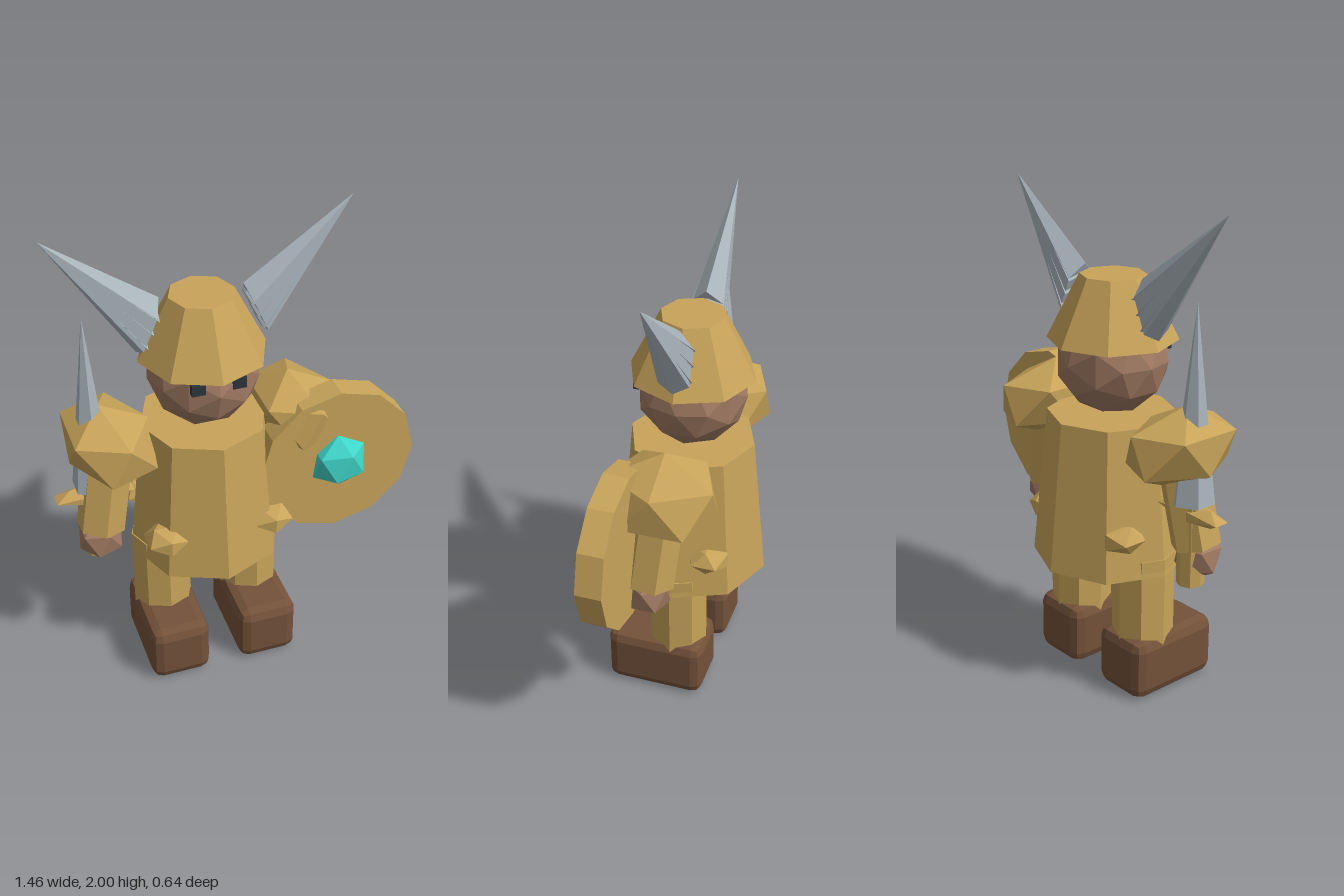
import * as THREE from 'three';
import { RoundedBoxGeometry } from 'three/addons/geometries/RoundedBoxGeometry.js';
import { ConvexGeometry } from 'three/addons/geometries/ConvexGeometry.js';

const mat = (color) => new THREE.MeshStandardMaterial({ color, flatShading: true });
const V = (x, y, z) => new THREE.Vector3(x, y, z);

export function createModel() {
  const model = new THREE.Group();
  const figure = new THREE.Group();
  figure.name = 'figure';
  figure.position.x = -0.11; // the shield widens the model on its left side
  model.add(figure);

  const gold = mat(0xc8a45a), skin = mat(0xa07a62), leather = mat(0x74523a);
  const silver = mat(0xa9b4bb), dark = mat(0x2c343c), teal = mat(0x3fd4c8);

  function add(name, geometry, material, x, y, z) {
    const mesh = new THREE.Mesh(geometry, material);
    mesh.name = name;
    mesh.position.set(x, y, z);
    figure.add(mesh);
    return mesh;
  }
  const ico = (r, detail = 0) => new THREE.IcosahedronGeometry(r, detail);
  const cyl = (top, bottom, h, sides) => new THREE.CylinderGeometry(top, bottom, h, sides);

  // Tunic, head and helmet
  add('tunic', cyl(0.26, 0.32, 0.61, 8), gold, 0, 0.835, 0);
  add('head', ico(0.225, 1), skin, 0, 1.36, 0);
  add('helmet', cyl(0.13, 0.258, 0.255, 8), gold, 0, 1.5625, 0);

  // Horn: a skewed six-sided spike with narrow ridges along its length
  function horn(s) {
    const tip = V(s * 0.595, 2, 0);
    const low = V(s * 0.26, 1.48, 0), high = V(s * 0.165, 1.7, 0);
    const at = (t, z) => low.clone().lerp(high, t).setZ(z);
    const ring = [at(0, 0), at(0.15, 0.062), at(0.75, 0.062), at(1, 0), at(0.75, -0.062), at(0.15, -0.062)];
    add('horn', new ConvexGeometry([...ring, tip]), silver, 0, 0, 0);
    for (const t of [0.2, 0.45, 0.7]) {
      const start = tip.clone().lerp(at(t, 0), 0.12);
      const ends = [at(t - 0.1, 0), at(t, 0.068), at(t + 0.1, 0), at(t, -0.068)];
      ends.forEach((p) => { p.x -= s * 0.012; });
      add('hornRidge', new ConvexGeometry([...ends, start]), silver, 0, 0, 0);
    }
  }

  const down = V(0, -1, 0);
  for (const s of [-1, 1]) {
    horn(s);
    add('eye', new THREE.BoxGeometry(0.054, 0.046, 0.05), dark, s * 0.081, 1.4, 0.187);

    // Leg and boot
    add('leg', cyl(0.125, 0.125, 0.4, 8), gold, s * 0.193, 0.4, 0);
    add('boot', new RoundedBoxGeometry(0.255, 0.26, 0.42, 1, 0.045), leather, s * 0.193, 0.13, 0.075);

    // Shoulder guard, both tilted the same way
    const guard = add('shoulderGuard', ico(0.25), gold, s * 0.388, 1.1, 0);
    guard.scale.set(0.84, 0.66, 1.01);
    guard.rotation.z = -0.47;

    // Arm from the shoulder down to the hand
    const from = V(s * 0.385, 1.1, 0), to = V(s * 0.452, 0.71, 0.035);
    const mid = from.clone().lerp(to, 0.5);
    const arm = add('arm', cyl(0.1, 0.1, from.distanceTo(to), 6), gold, mid.x, mid.y, mid.z);
    arm.quaternion.setFromUnitVectors(down, to.clone().sub(from).normalize());
    const hand = add('hand', ico(0.1), skin, s * 0.457, 0.665, 0.04);
    hand.rotation.z = -0.5;

    // Belt studs at the front and the back
    for (const z of [0.19, -0.14]) {
      const stud = add('beltStud', ico(0.095), gold, s * 0.22, 0.705, z);
      stud.scale.y = 0.65;
    }
  }

  // Sword in the right hand
  const sx = -0.46;
  add('swordBlade', new THREE.ConeGeometry(0.088, 0.77, 6), silver, sx, 1.285, 0);
  add('swordGrip', cyl(0.055, 0.055, 0.33, 8), gold, sx, 0.725, 0);
  const crossGuard = add('swordCrossGuard', ico(1), gold, sx, 0.855, 0);
  crossGuard.scale.set(0.185, 0.042, 0.06);

  // Shield with a gem, on the left arm
  const shield = add('shield', cyl(0.33, 0.33, 0.107, 12), gold, 0.51, 0.915, 0.139);
  shield.rotation.x = Math.PI / 2;
  const gem = add('shieldGem', ico(0.125), teal, 0.51, 0.92, 0.195);
  gem.rotation.z = -0.5;
  gem.scale.z = 0.7;

  return model;
}
